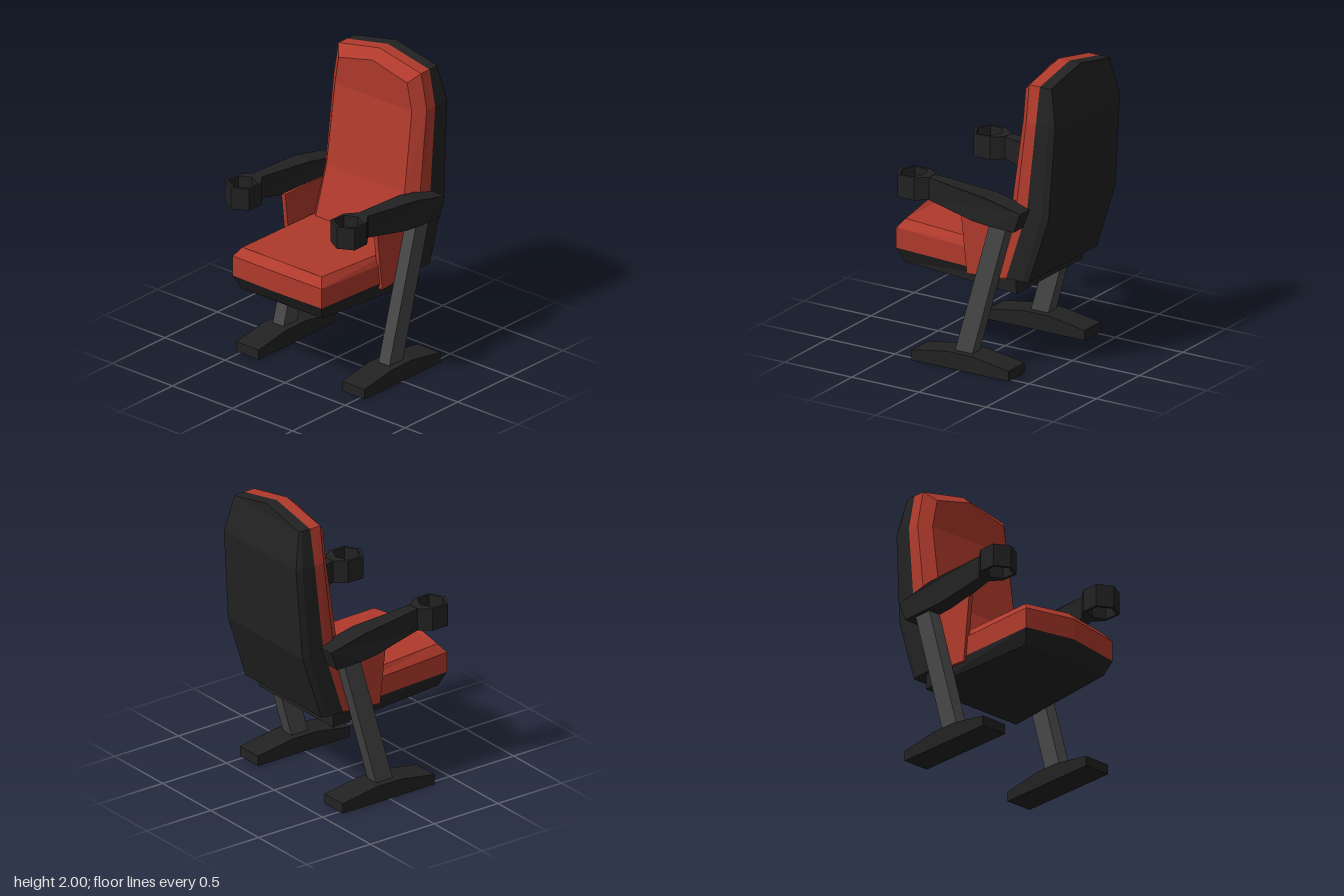
import * as THREE from 'three';

const mat = (name, color) => {
  const m = new THREE.MeshStandardMaterial({ color, flatShading: true });
  m.name = name;
  return m;
};

// Skin a series of outlines. Each outline lists one half (z >= 0) and is mirrored in z.
function loft(halves) {
  const rings = halves.map(h => [...h, ...h.map(([x, y, z]) => [x, y, -z]).reverse()]);
  const n = rings[0].length, last = (rings.length - 1) * n, index = [];
  for (let r = 0; r < rings.length - 1; r++) {
    for (let i = 0; i < n; i++) {
      const a = r * n + i, b = r * n + (i + 1) % n;
      index.push(a, b, b + n, a, b + n, a + n);
    }
  }
  // end caps are strips between mirrored points
  for (let i = 0; i < n / 2 - 1; i++) {
    const j = n - 1 - i;
    index.push(i, j, j - 1, i, j - 1, i + 1);
    index.push(last + i, last + j - 1, last + j, last + i, last + i + 1, last + j - 1);
  }
  const p = rings.flat();
  // keep the faces pointing outwards
  let volume = 0;
  const v = k => new THREE.Vector3(...p[k]);
  for (let t = 0; t < index.length; t += 3) {
    volume += v(index[t]).dot(v(index[t + 1]).cross(v(index[t + 2])));
  }
  if (volume < 0) index.reverse();
  const g = new THREE.BufferGeometry();
  g.setAttribute('position', new THREE.Float32BufferAttribute(p.flat(), 3));
  g.setIndex(index);
  g.computeVertexNormals();
  return g;
}

const shapeOf = pts => new THREE.Shape(pts.map(([x, y]) => new THREE.Vector2(x, y)));

// Side profile in x, y given a thickness from z0 to z1
function slab(pts, z0, z1) {
  const g = new THREE.ExtrudeGeometry(shapeOf(pts), { depth: z1 - z0, bevelEnabled: false });
  return g.translate(0, 0, z0);
}

export function createModel() {
  const red = mat('red upholstery', 0xb03a2c);
  const black = mat('black plastic', 0x222222);
  const grey = mat('grey metal', 0x474747);
  const group = new THREE.Group();
  const add = (name, geometry, material) => {
    const m = new THREE.Mesh(geometry, material);
    m.name = name;
    group.add(m);
  };

  // Seat: cushion on a tapered pan, front edge slightly pointed
  const seam = [[-0.615, 0.675, 0], [-0.575, 0.655, 0.37], [0.33, 0.63, 0.388]];
  add('seatCushion', loft([
    seam,
    [[-0.617, 0.815, 0], [-0.575, 0.79, 0.37], [0.3, 0.755, 0.388]],
    [[-0.565, 0.872, 0], [-0.53, 0.847, 0.33], [0.3, 0.815, 0.362]],
  ]), red);
  add('seatPan', loft([
    [[-0.565, 0.585, 0], [-0.53, 0.56, 0.335], [0.33, 0.53, 0.385]],
    seam,
  ]), black);

  // Backrest: bevelled cushion in front of a bent shell
  const backSeam = [
    [0.27, 0.63, 0.41], [0.42, 1.1, 0.403], [0.48, 1.69, 0.392], [0.48, 1.93, 0.345], [0.48, 2, 0],
  ];
  add('backCushion', loft([
    [[0.1, 0.63, 0.325], [0.265, 1.14, 0.325], [0.34, 1.68, 0.32], [0.335, 1.87, 0.285], [0.332, 1.94, 0]],
    [[0.17, 0.63, 0.392], [0.335, 1.12, 0.392], [0.405, 1.69, 0.388], [0.4, 1.93, 0.345], [0.4, 2, 0]],
    backSeam,
  ]), red);
  add('backShell', loft([
    backSeam,
    [[0.39, 0.63, 0.41], [0.53, 1.08, 0.403], [0.575, 1.7, 0.392], [0.545, 1.93, 0.345], [0.545, 2, 0]],
    [[0.43, 0.63, 0.395], [0.572, 1.07, 0.388], [0.613, 1.69, 0.375], [0.56, 1.93, 0.335], [0.56, 2, 0]],
  ]), black);

  // Armrest: side profile that widens towards the back
  const armGeometry = () => {
    const g = slab([
      [-0.3, 1.07], [-0.26, 1.07], [0.08, 1.003], [0.2, 0.995], [0.39, 0.99],
      [0.44, 1.12], [0.17, 1.18], [-0.26, 1.218], [-0.3, 1.22],
    ], -1, 1);
    const p = g.attributes.position;
    for (let i = 0; i < p.count; i++) {
      const t = THREE.MathUtils.clamp((p.getX(i) + 0.26) / 0.46, 0, 1);
      p.setZ(i, p.getZ(i) * (0.04 + 0.03 * t));
    }
    g.computeVertexNormals();
    return g;
  };

  // Cup holder: open six-sided ring, flared into the armrest
  const cupGeometry = () => {
    const shape = shapeOf([
      [-0.51, 0], [-0.455, -0.1], [-0.335, -0.098], [-0.26, -0.04],
      [-0.26, 0.04], [-0.335, 0.098], [-0.455, 0.1],
    ]);
    shape.holes.push(new THREE.Path([
      [-0.487, 0], [-0.445, 0.084], [-0.35, 0.08], [-0.312, 0], [-0.35, -0.08], [-0.445, -0.084],
    ].map(([x, y]) => new THREE.Vector2(x, y))));
    const g = new THREE.ExtrudeGeometry(shape, { depth: 0.15, bevelEnabled: false });
    return g.rotateX(Math.PI / 2).translate(0, 1.22, 0);
  };

  // Paired parts on both sides
  for (const [side, s] of [['left', 1], ['right', -1]]) {
    add(side + 'Armrest', armGeometry().translate(0, 0, s * 0.44), black);
    add(side + 'CupHolder', cupGeometry().translate(0, 0, s * 0.44), black);
    add(side + 'SidePanel', slab([
      [-0.03, 0.6], [0.27, 0.62], [0.4, 1.04], [-0.08, 1.04],
    ], -0.016, 0.016).translate(0, 0, s * 0.382), red);
    add(side + 'Leg', slab([
      [-0.065, 0.1], [0.065, 0.1], [0.325, 1.02], [0.2, 1.02],
    ], -0.045, 0.045).translate(0, 0, s * 0.44), grey);
    add(side + 'Foot', slab([
      [-0.355, 0], [0.367, 0], [0.367, 0.067], [0.1, 0.11], [-0.09, 0.11], [-0.355, 0.067],
    ], -0.094, 0.094).translate(0, 0, s * 0.44), black);
  }
  return group;
}
